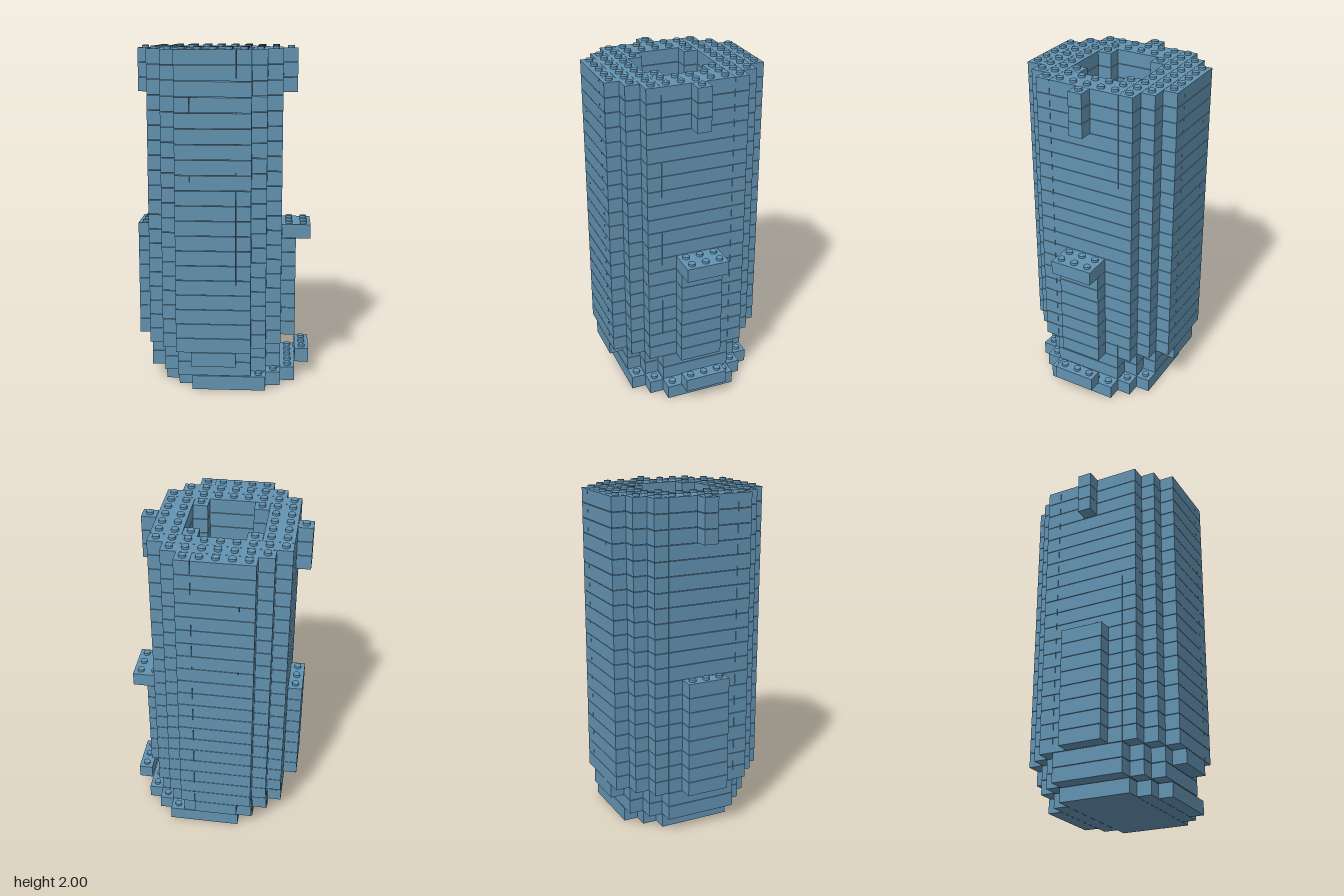
import * as THREE from 'three';
import { mergeGeometries } from 'three/addons/utils/BufferGeometryUtils.js';

const P = 0.0862;      // cell pitch
const H = 0.0864;      // layer height
const GAP = 0.003;     // seam between bricks
const STUD = 0.013;    // stud height
const LAYERS = 23;

export function createModel() {
  const model = new THREE.Group();
  const blue = new THREE.MeshStandardMaterial({ color: 0x6292b0 });
  blue.name = 'dustyBlue';

  const filled = new Set();
  const key = (i, j, k) => `${i},${j},${k}`;
  const cellX = i => (i - 5.5) * P;
  const cellZ = j => (j - 5) * P;

  // One brick covering cells x0..x1, z0..z1 of a layer
  function brick(list, k, x0, x1, z0, z1 = z0) {
    const g = new THREE.BoxGeometry((x1 - x0 + 1) * P - GAP / 2, H - GAP, (z1 - z0 + 1) * P - GAP / 2);
    g.translate((cellX(x0) + cellX(x1)) / 2, k * H + (H - GAP) / 2 + (k ? GAP / 2 : 0), (cellZ(z0) + cellZ(z1)) / 2);
    list.push(g);
    for (let i = x0; i <= x1; i++) for (let j = z0; j <= z1; j++) filled.add(key(i, j, k));
  }

  function addMesh(name, list) {
    const mesh = new THREE.Mesh(mergeGeometries(list), blue);
    mesh.name = name;
    model.add(mesh);
  }

  // Solid stepped base plates; the lowest is shifted one cell to the right
  const base = [];
  for (let k = 0; k < 2; k++) {
    const s = k === 0 ? 1 : 0;
    for (const side of [-1, 1]) {
      brick(base, k, 3 + s, 7 + s, 5 + side * 4);
      brick(base, k, 2 + s, 8 + s, 5 + side * 3);
    }
    brick(base, k, 1 + s, 9 + s, 3, 7);
  }
  addMesh('base', base);

  // Hollow tower wall, with a narrower first ring
  const wall = [];
  for (let k = 2; k < LAYERS; k++) {
    const n = k === 2 ? 1 : 0;
    const seamLeft = k === 14 || k === 19;
    for (const side of [-1, 1]) {
      const end = 5 + side * 5;
      if (n) brick(wall, k, 4, 6, end);
      else if (seamLeft) {
        brick(wall, k, 3, 3, end);
        brick(wall, k, 4, 7, end);
      } else {
        brick(wall, k, 3, 6, end);
        brick(wall, k, 7, 7, end);
      }
      brick(wall, k, 2 + n, 8 - n, 5 + side * 4);
      brick(wall, k, 1 + n, 9 - n, 5 + side * 3);
      // inner corner blocks
      for (const x of [3, 7]) brick(wall, k, x, x, 5 + side * 2);
    }
    brick(wall, k, 1, 2, 3, 7);
    brick(wall, k, 8, 9, 3, 7);
  }
  addMesh('towerWall', wall);

  // Ribs on both sides: wide below, single cell at the top
  const ribs = [];
  for (const x of [0, 10]) {
    for (let k = 3; k <= 10; k++) {
      if (x === 10 && k === 10) brick(ribs, k, 10, 11, 4, 6);
      else brick(ribs, k, x, x, 4, 6);
    }
    for (let k = 20; k <= 22; k++) brick(ribs, k, x, x, 5);
  }
  addMesh('sideRibs', ribs);

  // Low step on the right
  const step = [];
  brick(step, 1, 11, 11, 4, 6);
  addMesh('rightStep', step);

  // Studs on every cell with nothing above it
  const studs = [];
  for (const cell of filled) {
    const [i, j, k] = cell.split(',').map(Number);
    if (filled.has(key(i, j, k + 1))) continue;
    const g = new THREE.CylinderGeometry(0.0205, 0.0205, STUD + GAP, 20);
    g.translate(cellX(i), (k + 1) * H + (STUD - GAP) / 2, cellZ(j));
    studs.push(g);
  }
  addMesh('studs', studs);

  return model;
}
